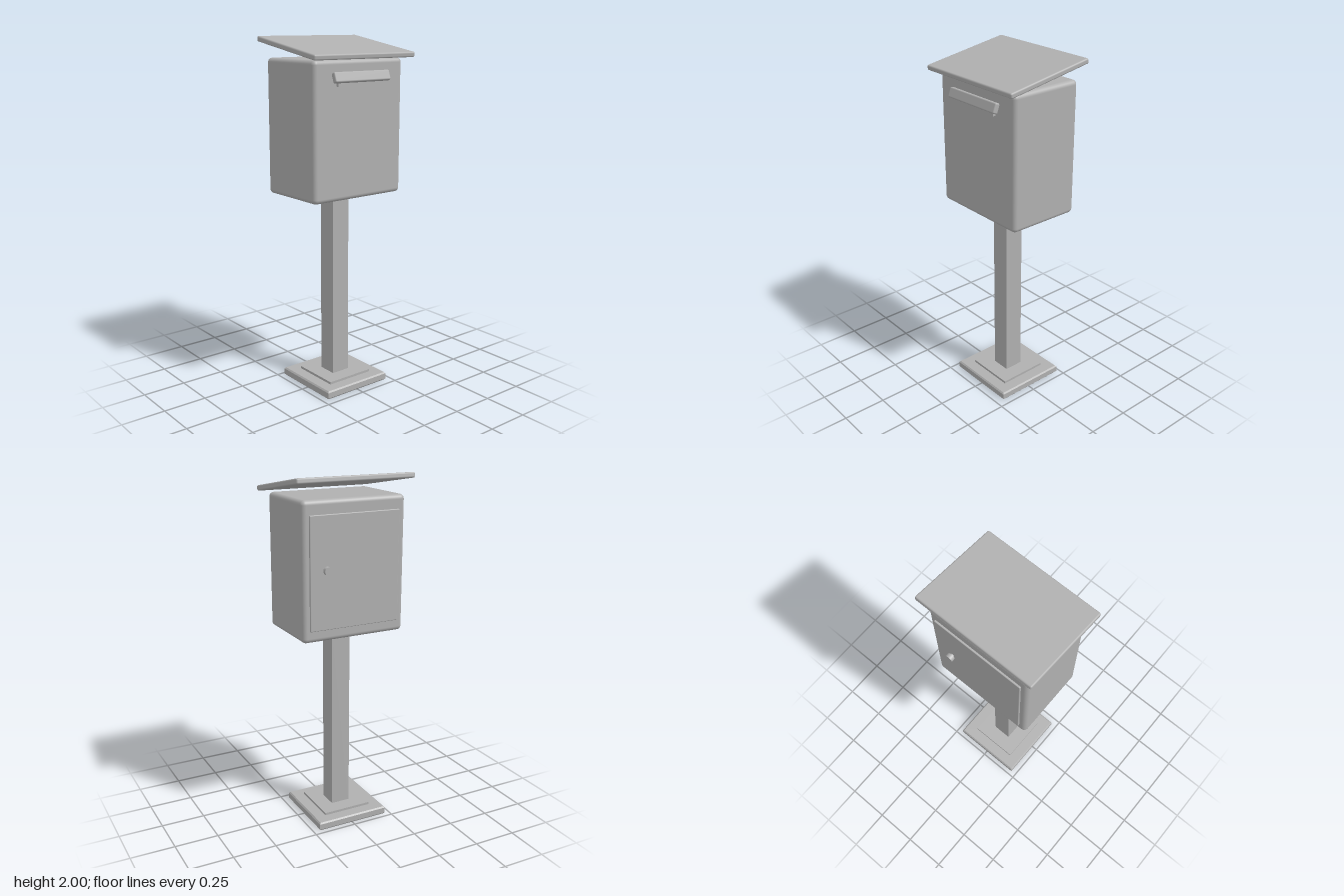
import * as THREE from 'three';
import { RoundedBoxGeometry } from 'three/addons/geometries/RoundedBoxGeometry.js';

const Z = -0.01; // depth of the post axis

export function createModel() {
  const model = new THREE.Group();
  model.name = 'mailbox';
  const paint = new THREE.MeshStandardMaterial({ color: 0xb0b0b0 });
  paint.name = 'grey paint';

  const add = (name, geometry, x, y, z) => {
    const mesh = new THREE.Mesh(geometry, paint);
    mesh.name = name;
    mesh.position.set(x, y, z);
    model.add(mesh);
    return mesh;
  };
  const rounded = (w, h, d, r, seg = 2) => new RoundedBoxGeometry(w, h, d, seg, r);

  // Square turned part: profile of [half width, height], bottom centre to top centre
  const square = (profile) => {
    const points = profile.map(([r, y]) => new THREE.Vector2(r * Math.SQRT2, y));
    const geometry = new THREE.LatheGeometry(points, 4, Math.PI / 4).toNonIndexed();
    geometry.computeVertexNormals();
    return geometry;
  };

  // Foot: hollow underside with a rim, and a thin collar plate on top
  add('basePlate', square([
    [0, 0.035], [0.195, 0.035], [0.195, 0], [0.208, 0], [0.215, 0.008],
    [0.215, 0.04], [0.208, 0.048], [0, 0.048],
  ]), -0.002, 0, Z);
  add('collarPlate', new THREE.BoxGeometry(0.29, 0.018, 0.29), -0.002, 0.053, Z);

  // Square tube post, open at the bottom
  add('post', square([
    [0, 0.035], [0.046, 0.035], [0.046, 0], [0.056, 0], [0.056, 1.125], [0.05, 1.14], [0, 1.14],
  ]), -0.002, 0, Z);

  // Letter box body
  add('body', rounded(0.608, 0.75, 0.43, 0.025, 4), -0.001, 1.51, Z);

  // Sloping roof sheet, higher at the back
  const roof = add('roof', rounded(0.688, 0.03, 0.524, 0.009), 0, 1.943, 0.004);
  roof.rotation.x = THREE.MathUtils.degToRad(9.5);

  // Letter slot with its tilted flap
  add('slotFrame', new THREE.BoxGeometry(0.315, 0.06, 0.03), -0.002, 1.777, 0.207);
  const flap = add('slotFlap', rounded(0.378, 0.056, 0.03, 0.008), -0.002, 1.794, 0.222);
  flap.rotation.x = THREE.MathUtils.degToRad(-20);

  // Rear door and round lock
  add('door', rounded(0.53, 0.61, 0.02, 0.004), 0, 1.505, -0.225);
  const stem = add('lockStem', new THREE.CylinderGeometry(0.013, 0.013, 0.02, 24), 0.172, 1.522, -0.24);
  const knob = add('lockKnob', new THREE.CylinderGeometry(0.022, 0.022, 0.022, 32), 0.172, 1.522, -0.253);
  stem.rotation.x = knob.rotation.x = Math.PI / 2;

  return model;
}
